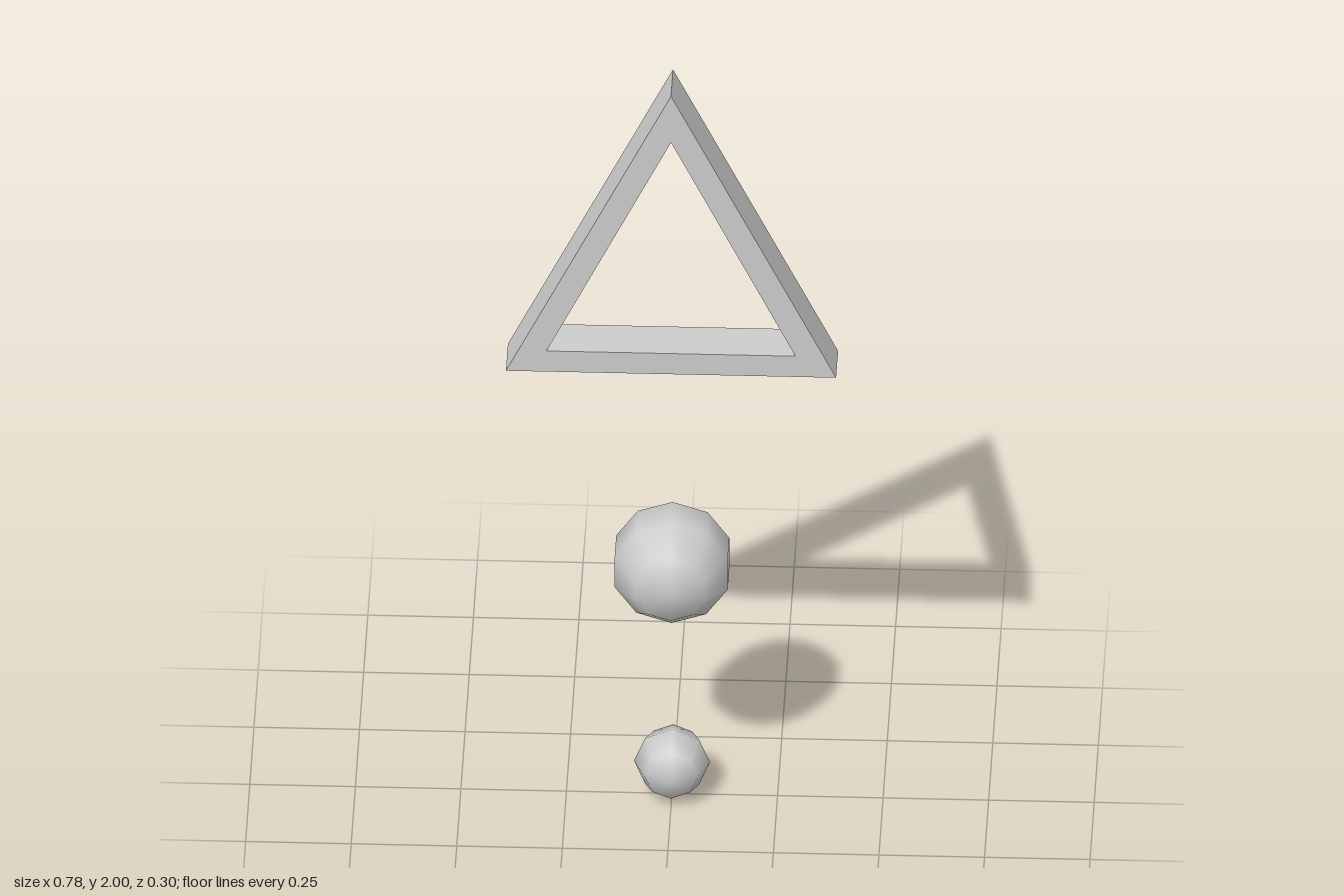
import * as THREE from 'three';

export function createModel() {
  const group = new THREE.Group();
  const gray = new THREE.MeshStandardMaterial({ color: 0xcccccc });
  gray.name = 'light gray';

  const add = (name, geometry, y, z = 0) => {
    const mesh = new THREE.Mesh(geometry, gray);
    mesh.name = name;
    mesh.position.set(0, y, z);
    group.add(mesh);
  };

  // Triangular frame: outer triangle with a matching hole
  const triangle = (Type, halfWidth, bottom, top) => {
    const path = new Type();
    path.moveTo(-halfWidth, bottom);
    path.lineTo(halfWidth, bottom);
    path.lineTo(0, top);
    path.closePath();
    return path;
  };
  const frame = triangle(THREE.Shape, 0.391, 0, 0.782);
  frame.holes.push(triangle(THREE.Path, 0.295, 0.058, 0.652));
  const depth = 0.118;
  add('triangleFrame', new THREE.ExtrudeGeometry(frame, { depth, bevelEnabled: false }), 1.218, -depth / 2);

  // Low-poly smooth balls with their poles along z and a corner straight up
  const ball = (radius, segments, rings) =>
    new THREE.SphereGeometry(radius, segments, rings).rotateY(Math.PI / 2).rotateX(Math.PI / 2);
  add('middleBall', ball(0.148, 10, 5), 0.65);
  add('lowerBall', ball(0.09, 8, 4), 0.09);

  return group;
}
